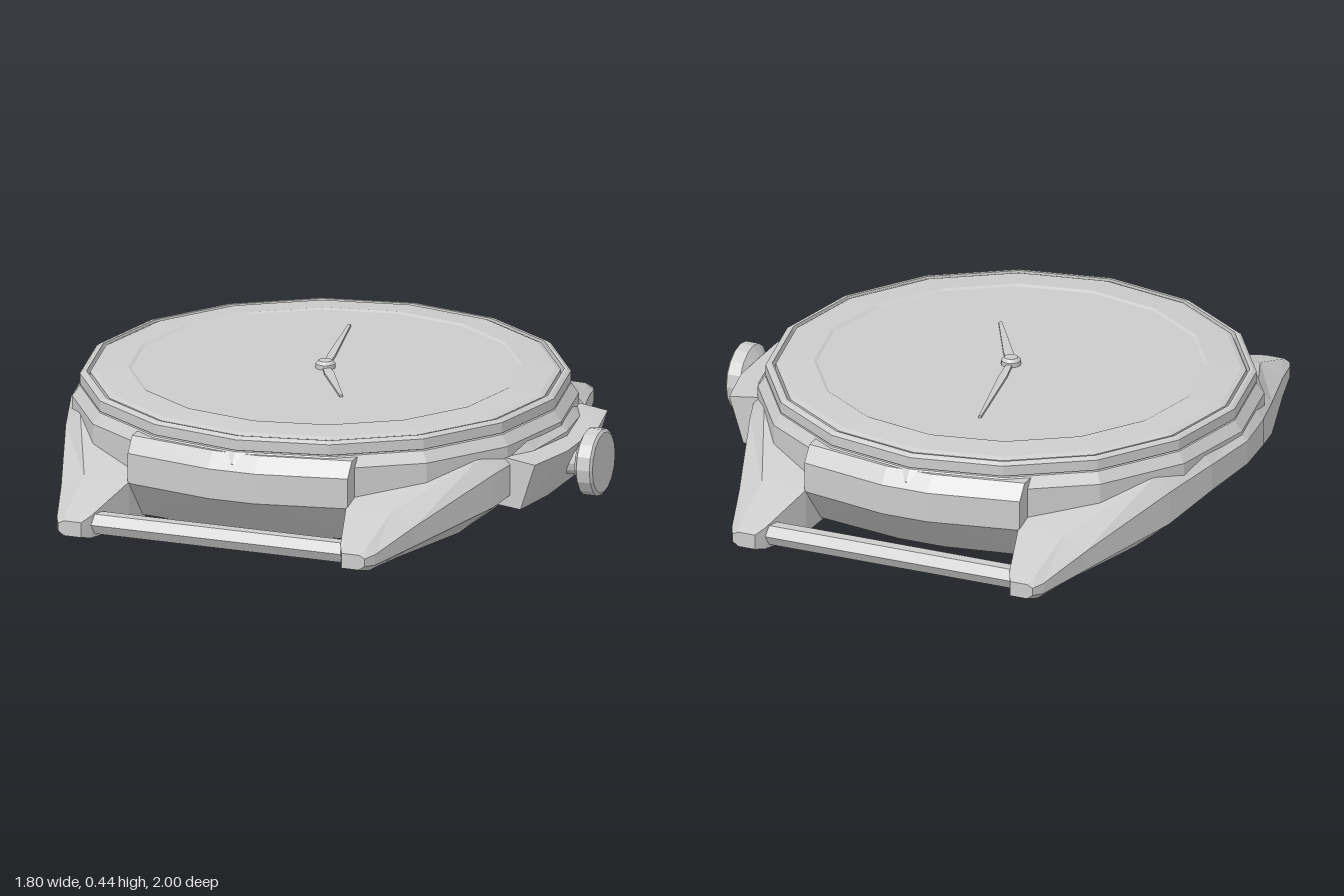
import * as THREE from 'three';
import { ConvexGeometry } from 'three/addons/geometries/ConvexGeometry.js';

const CX = -0.065; // centre of the dial; the crown offsets the case
const mat = new THREE.MeshStandardMaterial({ color: 0xcccccc, flatShading: true });

function lathe(points) {
  return new THREE.LatheGeometry(points.map(([r, y]) => new THREE.Vector2(r, y)), 16);
}

// Skin over equal-length rings of [x, y, z], counterclockwise seen from the last ring's end
function loft(rings) {
  const n = rings[0].length, last = (rings.length - 1) * n, index = [];
  for (let i = 0; i < rings.length - 1; i++) {
    for (let j = 0; j < n; j++) {
      const a = i * n + j, b = i * n + (j + 1) % n;
      index.push(a, b, a + n, b, b + n, a + n);
    }
  }
  for (let j = 1; j < n - 1; j++) index.push(0, j + 1, j, last, last + j, last + j + 1);
  const g = new THREE.BufferGeometry();
  g.setAttribute('position', new THREE.Float32BufferAttribute(rings.flat(2), 3));
  g.setIndex(index);
  g.computeVertexNormals();
  return g;
}

// One flank of the case with a lug at each end; side is 1 or -1
function flank(side) {
  // z, inner x, under x, outer x, top x, bottom y, outer low y, outer high y, top y
  const half = [
    [0, 0.4, 0.62, 0.835, 0.79, 0.03, 0.21, 0.29, 0.33],
    [0.2, 0.4, 0.62, 0.8, 0.76, 0.035, 0.19, 0.28, 0.325],
    [0.4, 0.38, 0.62, 0.74, 0.69, 0.04, 0.14, 0.25, 0.3],
    [0.77, 0.375, 0.55, 0.61, 0.53, 0.055, 0.1, 0.165, 0.205],
    [0.96, 0.43, 0.53, 0.55, 0.52, 0.065, 0.085, 0.12, 0.14],
    [1, 0.45, 0.51, 0.53, 0.51, 0.075, 0.09, 0.115, 0.125],
  ];
  const mirrored = half.slice(1).reverse().map(([z, ...rest]) => [-z, ...rest]);
  const rings = [...mirrored, ...half].map(([z, xi, xu, xo, xt, yb, yl, yh, yt]) => {
    const ring = [[xi, yb], [xu, yb], [xo, yl], [xo, yh], [xt, yt], [xi, yt]]
      .map(([x, y]) => [side * x, y, z]);
    return side > 0 ? ring : ring.reverse();
  });
  return loft(rings);
}

// Thin tapered hand pointing from the centre to (x, z)
function hand(x, z, width) {
  const length = Math.hypot(x, z), w = width / 2;
  const shape = new THREE.Shape([
    [-w * 0.6, -0.01], [w * 0.6, -0.01], [w, length * 0.25],
    [w * 0.35, length], [-w * 0.35, length], [-w, length * 0.25],
  ].map(([a, b]) => new THREE.Vector2(a, b)));
  const g = new THREE.ExtrudeGeometry(shape, { depth: 0.008, bevelEnabled: false });
  g.rotateX(-Math.PI / 2);
  g.rotateY(Math.atan2(-x, -z));
  return g;
}

export function createModel() {
  const model = new THREE.Group();
  const add = (name, geometry, x = 0, y = 0, z = 0) => {
    const mesh = new THREE.Mesh(geometry, mat);
    mesh.name = name;
    mesh.position.set(x, y, z);
    model.add(mesh);
    return mesh;
  };

  // Round case with its back cover
  add('caseBody', lathe([
    [0, 0], [0.54, 0], [0.56, 0.015], [0.62, 0.025], [0.66, 0.05],
    [0.78, 0.17], [0.815, 0.22], [0.815, 0.32], [0.79, 0.355], [0, 0.355],
  ]), CX);

  // Bezel with a narrow groove around the glass
  add('bezel', lathe([
    [0.76, 0.35], [0.79, 0.36], [0.79, 0.395], [0.778, 0.403], [0.768, 0.403], [0.766, 0.38], [0.74, 0.38],
  ]), CX);
  add('glass', lathe([
    [0.757, 0.37], [0.757, 0.4], [0.74, 0.407], [0.635, 0.415], [0.625, 0.41], [0, 0.41],
  ]), CX);

  // Straight walls of the case between the lugs
  const wall = [];
  for (const [y, s] of [[0.06, 0.84], [0.2, 1], [0.3, 1], [0.35, 0.95]]) {
    for (const sx of [-1, 1]) for (const sz of [-1, 1]) {
      wall.push(new THREE.Vector3(sx * 0.38, y, sz * 0.77 * s), new THREE.Vector3(sx * 0.08, y, sz * 0.83 * s));
    }
  }
  add('endWalls', new ConvexGeometry(wall), CX);

  // Flanks ending in the four lugs
  add('leftFlank', flank(1), CX);
  add('rightFlank', flank(-1), CX);

  // Strap bars between the lugs
  for (const sz of [-1, 1]) {
    const bar = new THREE.CylinderGeometry(0.038, 0.038, 0.94, 6);
    bar.rotateZ(Math.PI / 2);
    add(sz > 0 ? 'frontStrapBar' : 'backStrapBar', bar, CX, 0.108, sz * 0.925);
  }

  // Crown guard, leaning outwards towards the top
  const guard = [];
  for (const sz of [-1, 1]) {
    for (const [x, y, z] of [
      [0.6, 0.13, 0.32], [0.6, 0.28, 0.32], [0.735, 0.115, 0.32], [0.785, 0.27, 0.32],
      [0.76, 0.115, 0.14], [0.825, 0.27, 0.14], [0.68, 0.285, 0.32],
    ]) guard.push(new THREE.Vector3(x, y, z * sz));
  }
  add('crownGuard', new ConvexGeometry(guard));

  // Crown and stem
  const stem = new THREE.CylinderGeometry(0.05, 0.05, 0.14, 12);
  stem.rotateZ(-Math.PI / 2);
  add('crownStem', stem, 0.78, 0.2, 0);
  const crown = lathe([[0, 0], [0.075, 0], [0.11, 0.02], [0.11, 0.065], [0.1, 0.072], [0, 0.072]]);
  crown.rotateZ(-Math.PI / 2);
  add('crown', crown, 0.825, 0.2, 0);

  // Hands and centre pin
  add('minuteHand', hand(-0.09, -0.44, 0.026), CX, 0.411, 0);
  add('hourHand', hand(0.165, 0.28, 0.032), CX, 0.409, 0);
  add('centrePin', lathe([[0.032, 0.405], [0.032, 0.425], [0.022, 0.435], [0, 0.435]]), CX);

  return model;
}
